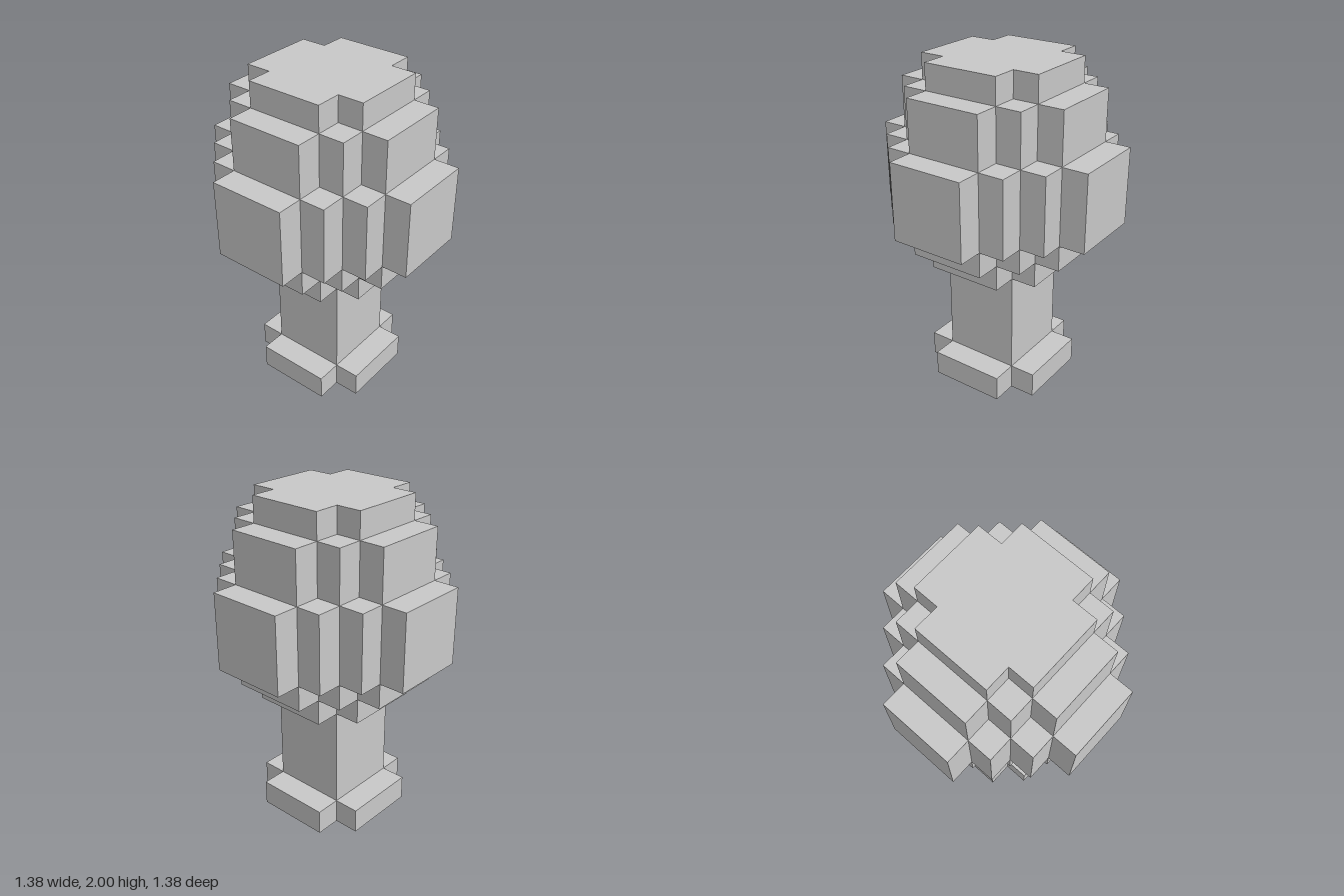
import * as THREE from 'three';

const U = 2 / 13; // one block

// Stepped, four-fold symmetric outline: each side is 3 blocks wide, corners step in by one block
function steppedOutline(half) {
  const quadrant = [];
  for (let x = half, y = 1.5; x >= 1.5; x--, y++) {
    quadrant.push([x, y]);
    if (x > 1.5) quadrant.push([x - 1, y]);
  }
  const points = [];
  for (let q = 0; q < 4; q++) {
    for (const [x, y] of quadrant) {
      const [px, py] = [[x, y], [-y, x], [-x, -y], [y, -x]][q];
      points.push(new THREE.Vector2(px * U, py * U));
    }
  }
  return new THREE.Shape(points);
}

export function createModel() {
  const group = new THREE.Group();
  const material = new THREE.MeshStandardMaterial({ color: 0xcccccc, flatShading: true });

  // name, half width, bottom and top, all in blocks
  const layers = [
    ['base', 2.5, 0, 1],
    ['trunk', 1.5, 1, 5],
    ['crownBottom', 2.5, 5, 6],
    ['crownLower', 3.5, 6, 7],
    ['crownMiddle', 4.5, 7, 10],
    ['crownUpper', 3.5, 10, 12],
    ['crownTop', 2.5, 12, 13],
  ];
  for (const [name, half, bottom, top] of layers) {
    const geometry = new THREE.ExtrudeGeometry(steppedOutline(half), {
      depth: (top - bottom) * U,
      bevelEnabled: false,
    });
    geometry.rotateX(-Math.PI / 2); // extrude upwards
    const mesh = new THREE.Mesh(geometry, material);
    mesh.name = name;
    mesh.position.y = bottom * U;
    group.add(mesh);
  }
  return group;
}
